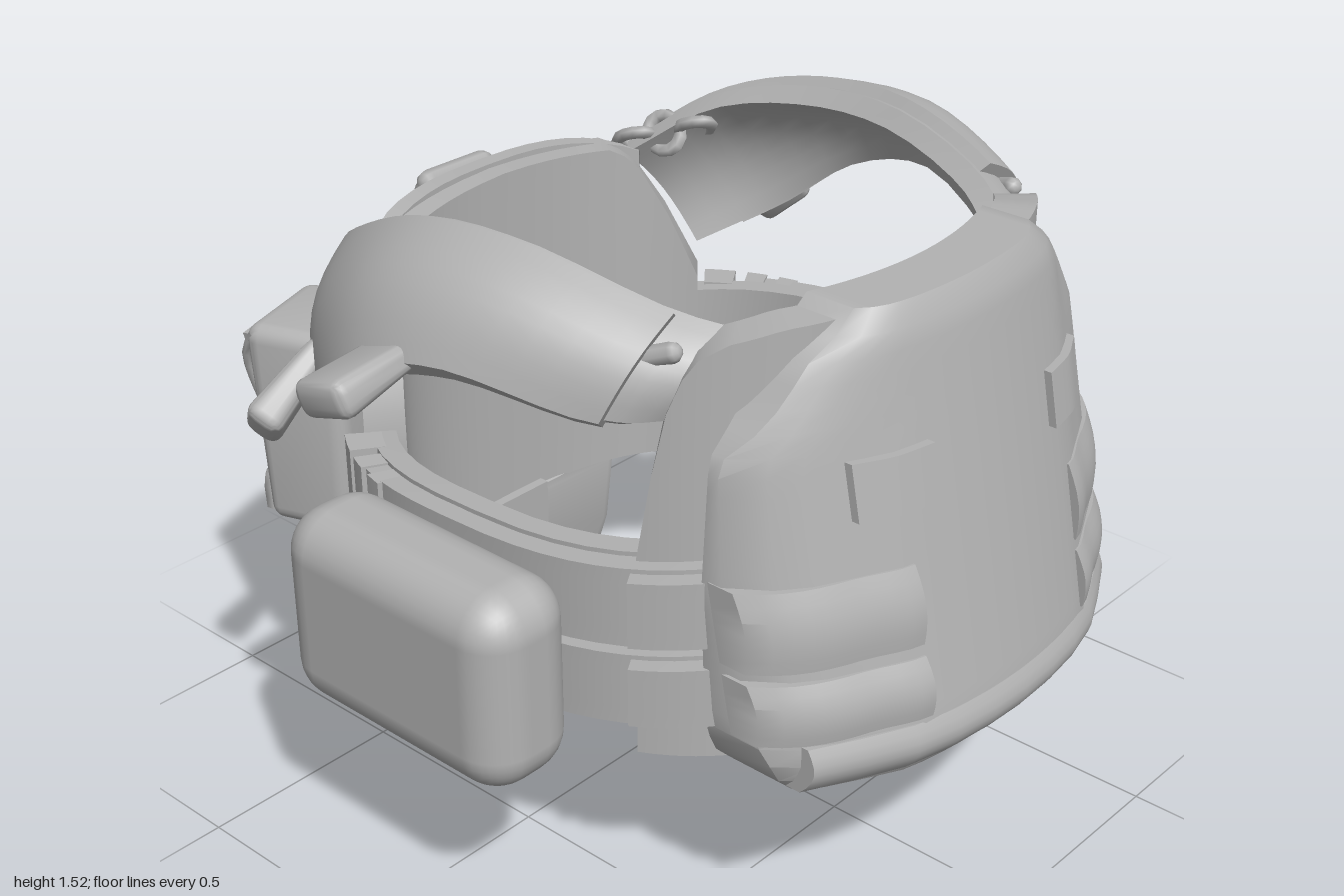
import * as THREE from 'three';
import { toCreasedNormals } from 'three/addons/utils/BufferGeometryUtils.js';
import { RoundedBoxGeometry } from 'three/addons/geometries/RoundedBoxGeometry.js';

const fabric = new THREE.MeshStandardMaterial({ color: 0xb2b2b2 });
fabric.name = 'grey fabric';

const V = (x, y, z) => new THREE.Vector3(x, y, z);
const lerp = THREE.MathUtils.lerp;

function mesh(name, geo, crease = 0.7) {
  const m = new THREE.Mesh(crease ? toCreasedNormals(geo, crease) : geo, fabric);
  m.name = name;
  return m;
}

// Closed slab: f(u, v, s) places each point, s = 0 inside and 1 outside
function slab(name, nu, nv, f, crease) {
  const geo = new THREE.BoxGeometry(1, 1, 1, nu, nv, 1);
  const p = geo.attributes.position;
  for (let i = 0; i < p.count; i++) {
    const q = f(p.getX(i) + 0.5, p.getY(i) + 0.5, p.getZ(i) + 0.5);
    p.setXYZ(i, q.x, q.y, q.z);
  }
  return mesh(name, geo, crease);
}

// Piecewise linear lookup in [[key, value], ...]
function table(rows, k) {
  for (let i = 1; i < rows.length; i++) {
    const [a, b] = [rows[i - 1], rows[i]];
    if (k <= b[0]) return lerp(a[1], b[1], Math.max(0, (k - a[0]) / (b[0] - a[0])));
  }
  return rows[rows.length - 1][1];
}

// Plan of the torso, a squarish oval; t = 0 at the front
const sp = v => Math.sign(v) * Math.abs(v) ** 0.77;
const ring = (t, off, y) => V((0.6 + off) * sp(Math.sin(t)), y, 0.06 + (0.585 + off) * sp(Math.cos(t)));

function wrap(name, t0, t1, o0, o1, low, high, n = 16) {
  return slab(name, n, 5, (u, v, s) => {
    const t = lerp(t0, t1, u);
    return ring(t, lerp(o0, o1, s), lerp(low(t), high(t), v));
  });
}

// Face of the front plate pocket, rounded at its sides and bottom
const frontZ = (x, y) => 0.955 - 0.2 * (y - 0.56) - 0.14 * (x / 0.58) ** 2 - 0.06 * Math.abs(x / 0.59) ** 10
  + 0.02 * (1 - THREE.MathUtils.smoothstep(Math.abs(x), 0.28, 0.4))
  - 0.06 * Math.max(0, 1 - (y - 0.47) / 0.11) ** 2;

// Raised patch on the pocket; puff rounds it across its height
function frontPatch(name, x0, x1, y0, y1, raise, puff = 0) {
  return slab(name, 10, 6, (u, v, s) => {
    const x = lerp(x0, x1, u), y = lerp(y0, y1, v);
    return V(x, y, frontZ(x, y) + (s ? raise + puff * Math.sin(Math.PI * v) : -0.06));
  });
}

function tube(name, pts, r, seg = 10) {
  return mesh(name, new THREE.TubeGeometry(new THREE.CatmullRomCurve3(pts), seg, r, 6), 0);
}

// Rear pouch, outward is local +z
function rearPouch() {
  const g = new THREE.Group();
  g.name = 'rearPouch';
  const geo = new RoundedBoxGeometry(0.3, 0.5, 0.25, 3, 0.04);
  const p = geo.attributes.position;
  for (let i = 0; i < p.count; i++) {
    const k = p.getY(i) / 0.5 + 0.5;
    p.setX(i, p.getX(i) * lerp(1.04, 0.98, k));
    if (p.getZ(i) > 0) p.setZ(i, p.getZ(i) * lerp(0.75, 1.05, k));
  }
  const body = mesh('pouchBody', geo, 0.6);
  body.position.z = 0.125;
  const flap = mesh('pouchFlap', new THREE.ExtrudeGeometry(
    new THREE.Shape([[-0.12, 0.22], [-0.02, -0.13], [0.02, -0.13], [0.12, 0.22]].map(a => new THREE.Vector2(...a))),
    { depth: 0.02, bevelEnabled: false }));
  flap.position.z = 0.233;
  flap.rotation.x = 0.06;
  g.add(body, flap);
  for (const s of [-1, 1]) {
    g.add(tube('elasticCord', [V(s * 0.13, 0.23, 0.23), V(s * 0.11, 0.16, 0.268), V(s * 0.015, -0.13, 0.25)], 0.011));
    g.add(tube('cordEnd', [V(s * 0.01, -0.15, 0.255), V(s * 0.035, -0.2, 0.28), V(s * 0.03, -0.29, 0.285)], 0.019, 5));
  }
  const toggle = mesh('cordToggle', new THREE.CapsuleGeometry(0.026, 0.06, 3, 8), 0);
  toggle.rotation.z = 1.2;
  toggle.position.set(0, -0.14, 0.26);
  const knot = mesh('cordKnot', new THREE.SphereGeometry(0.035, 8, 6), 0);
  knot.position.set(0, -0.19, 0.265);
  g.add(toggle, knot);
  return g;
}

// Pull tab, narrow at the root and flared at the free end
function pullTab(pos, rot) {
  const geo = new RoundedBoxGeometry(0.22, 0.07, 0.15, 2, 0.025);
  const p = geo.attributes.position;
  for (let i = 0; i < p.count; i++) p.setY(i, p.getY(i) * lerp(0.75, 1.25, p.getX(i) / 0.22 + 0.5));
  const m = mesh('pullTab', geo);
  m.position.set(...pos);
  m.rotation.set(...rot);
  return m;
}

// Left shoulder strap with pad and pull tabs; lift raises the neck edge
function shoulder(lift) {
  const g = new THREE.Group();
  g.name = 'shoulderStrap';
  const inner = new THREE.CatmullRomCurve3([V(0.36, 1.37, 0.6), V(0.47, 1.41, 0.44), V(0.56, 1.455 + lift, 0.15),
    V(0.57, 1.445 + lift, -0.1), V(0.53, 1.38, -0.35), V(0.42, 1.25, -0.53)]);
  const outer = new THREE.CatmullRomCurve3([V(0.53, 1.22, 0.5), V(0.65, 1.22, 0.4), V(0.78, 1.28, 0.12),
    V(0.8, 1.22, -0.1), V(0.73, 1.08, -0.28), V(0.58, 0.98, -0.43)]);
  const strip = (name, u0, u1, v0, v1, base, thick) => slab(name, 18, 8, (u, v, s) => {
    const k = lerp(u0, u1, u), w = lerp(v0, v1, v);
    const a = outer.getPoint(k), b = inner.getPoint(k);
    const n = b.clone().sub(a).cross(inner.getTangent(k)).normalize().negate();
    if (n.y < 0) n.negate();
    return a.lerp(b, w).addScaledVector(n, base + s * thick + 0.045 * Math.sin(Math.PI * w));
  });
  g.add(strip('strapBase', 0, 1, 0.04, 0.99, -0.03, 0.05), strip('strapPad', 0.2, 0.9, 0, 0.95, -0.01, 0.058));
  g.add(pullTab([0.885, 1.275, -0.02], [-0.3, 0, -0.17]), pullTab([0.775, 1.085, -0.38], [-0.75, 0.45, -0.42]));
  const keeper = mesh('strapKeeper', new THREE.CapsuleGeometry(0.022, 0.08, 3, 8), 0);
  keeper.position.set(0.57, 1.36, 0.46);
  keeper.rotation.set(1.2, 0, 0.3);
  g.add(keeper);
  return g;
}

export function createModel() {
  const root = new THREE.Group();
  root.name = 'vest';

  // Front carrier lining with armhole wings
  root.add(wrap('frontLining', -1.05, 1.05, 0, 0.085, () => 0.47,
    t => table([[0, 1.42], [0.55, 1.42], [0.74, 1.4], [0.87, 1.36], [0.95, 1.25], [1.01, 1.08], [1.05, 0.93]], Math.abs(t)), 40));

  // Front plate pocket
  const widths = [[0.47, 0.5], [0.52, 0.55], [0.6, 0.575], [0.9, 0.59], [1.19, 0.57], [1.26, 0.49], [1.36, 0.4], [1.44, 0.29]];
  root.add(slab('frontPlatePocket', 20, 24, (u, v, s) => {
    const y = lerp(0.47, 1.44, v), e = 2 * u - 1, x = e * table(widths, y);
    const round = 0.03 * e ** 8 + 0.02 * Math.max(0, (v - 0.94) / 0.06) ** 2;
    return V(x, y, s ? frontZ(x, y) - round : 0.65 - 0.05 * e * e);
  }));
  root.add(frontPatch('bottomRoll', -0.52, 0.52, 0.49, 0.6, 0.002, 0.012));
  for (const s of [-1, 1]) {
    const side = (a, b) => (s > 0 ? [a, b] : [-b, -a]);
    root.add(frontPatch('frontPatch', ...side(0.2, 0.38), 1.05, 1.17, 0.018));
    for (const [y0, y1] of [[0.61, 0.74], [0.765, 0.935]])
      root.add(frontPatch('frontWebbing', ...side(0.27, 0.59), y0, y1, 0.004, 0.016));

    // Side belt: base, two webbing rows, front buckles and vertical keepers
    const drop = t => 0.045 * (Math.abs(t) - 0.65);
    root.add(wrap('sideBelt', ...side(0.65, 2.5), 0.02, 0.07, t => 0.56 - drop(t), t => 0.955 - drop(t)));
    for (const [y0, y1] of [[0.58, 0.745], [0.765, 0.945]]) {
      root.add(wrap('sideWebbing', ...side(0.65, 2.05), 0.06, 0.115, t => y0 - drop(t), t => y1 - drop(t)));
      root.add(wrap('frontBuckle', ...side(0.76, 1.06), 0.1, 0.15, t => y0 + 0.02 - drop(t), t => y1 - 0.01 - drop(t), 5));
    }
    root.add(wrap('lowerBeltTab', ...side(1.4, 1.8), 0.1, 0.13, () => 0.63, () => 0.73, 6));
    for (const [a, b] of [[1.86, 1.93], [1.98, 2.06], [2.11, 2.24]])
      root.add(wrap('beltKeeper', ...side(a, b), 0.05, 0.125, () => 0.53, () => 0.89, 3));
  }

  // Back panel and its padded pocket
  root.add(wrap('backPanel', Math.PI - 0.87, Math.PI + 0.87, 0, 0.085, () => 0.44,
    t => table([[0, 1.3], [0.45, 1.28], [0.56, 1.24], [0.72, 1.1], [0.87, 0.93]], Math.abs(t - Math.PI)), 24));
  root.add(slab('backPad', 16, 12, (u, v, s) => {
    const e = 2 * u - 1;
    const bulge = 0.14 - 0.05 * e ** 6 - 0.05 * Math.max(0, (v - 0.8) / 0.2) ** 2;
    return ring(Math.PI + 0.6 * e, s ? bulge : 0.05, lerp(0.46, 1.31 - 0.06 * e * e, v));
  }));

  // Shoulders
  const left = shoulder(0);
  const right = shoulder(0.035);
  right.scale.x = -1;
  root.add(left, right);

  // Chain on the left shoulder
  for (let i = 0; i < 3; i++) {
    const link = mesh('chainLink', new THREE.TorusGeometry(0.042, 0.015, 6, 12), 0);
    link.scale.y = 1.35;
    link.position.set(0.45 + i * 0.035, 1.26 + i * 0.02, -0.53 + i * 0.065);
    link.rotation.set(i % 2 ? 1.5 : 1.1, i % 2 ? 0.9 : -0.4, 0.4);
    root.add(link);
  }

  // Drag ring on the back
  const ringGroup = new THREE.Group();
  ringGroup.name = 'dragRing';
  ringGroup.add(tube('ringLoop', [V(-0.1, 0, 0), V(-0.1, -0.07, 0), V(-0.05, -0.16, 0), V(0.05, -0.16, 0),
    V(0.1, -0.07, 0), V(0.1, 0, 0)], 0.02, 20));
  const bar = mesh('ringBar', new THREE.CapsuleGeometry(0.03, 0.17, 3, 8), 0);
  bar.rotation.z = Math.PI / 2;
  ringGroup.add(bar);
  ringGroup.position.set(0, 1.26, -0.69);
  ringGroup.rotation.x = 0.4;
  root.add(ringGroup);

  // Three rear pouches
  for (const [x, z, a] of [[0, -0.68, 0], [-0.34, -0.635, 0.34], [0.34, -0.635, -0.34]]) {
    const pouch = rearPouch();
    pouch.position.set(x, 0.765, z);
    pouch.rotation.y = Math.PI + a;
    root.add(pouch);
  }

  // Side pouch on the right
  const sidePouch = mesh('sidePouch', new RoundedBoxGeometry(0.25, 0.46, 0.66, 4, 0.1), 0);
  sidePouch.position.set(-0.8, 0.66, 0.03);
  root.add(sidePouch);

  // Hanging lower flap and its pouch
  const outline = [[-0.35, 0.46], [-0.34, 0.25], [-0.31, 0.17], [-0.21, 0.03], [-0.15, 0.01],
    [0.15, 0.01], [0.21, 0.03], [0.31, 0.17], [0.34, 0.25], [0.35, 0.46]].map(a => new THREE.Vector2(...a));
  const flap = mesh('lowerFlap', new THREE.ExtrudeGeometry(new THREE.Shape(outline),
    { depth: 0.06, bevelThickness: 0.025, bevelSize: 0.03, bevelOffset: -0.03, bevelSegments: 2 }));
  flap.position.z = -0.63;
  flap.rotation.x = 0.08;
  root.add(flap);
  root.add(slab('lowerPouch', 14, 10, (u, v, s) => {
    const e = 1 - 2 * u;
    const w = 0.15 + 0.16 * Math.sin(Math.min(1, v / 0.6) * Math.PI / 2);
    const bulge = 0.03 + 0.14 * Math.sin(Math.min(1, v / 0.45) * Math.PI / 2);
    return V(e * w, 0.12 + 0.3 * v + 0.05 * e * e * (1 - v), s ? -0.61 - bulge * (1 - 0.55 * Math.abs(e) ** 3) : -0.58);
  }));
  const loop = mesh('flapLoop', new THREE.BoxGeometry(0.17, 0.16, 0.04));
  loop.position.set(0, 0.38, -0.52);
  root.add(loop);
  return root;
}
